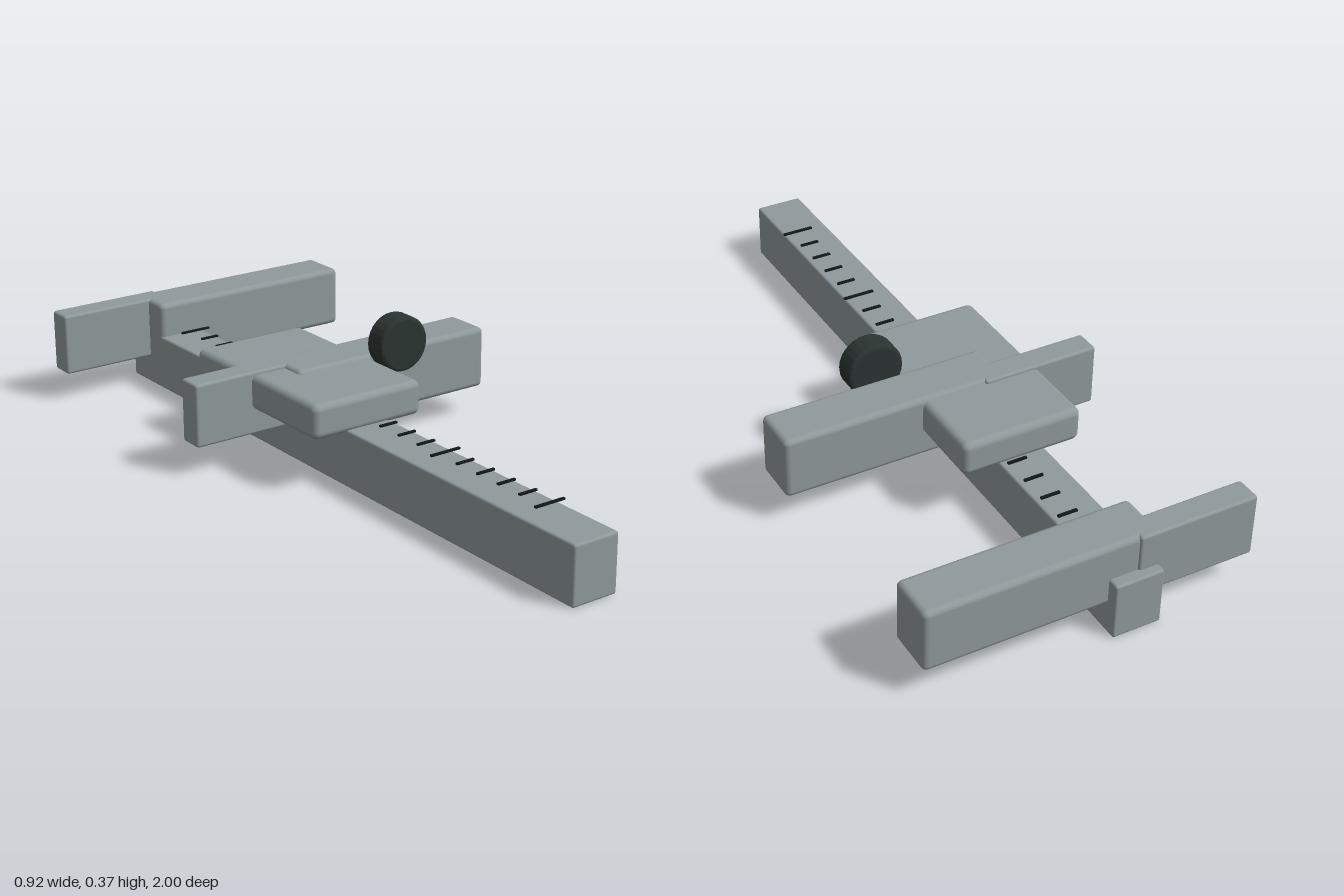
import * as THREE from 'three';
import { RoundedBoxGeometry } from 'three/addons/geometries/RoundedBoxGeometry.js';

export function createModel() {
  const model = new THREE.Group();
  model.name = 'caliper';

  const steel = new THREE.MeshStandardMaterial({ color: 0x8f999b });
  steel.name = 'steel grey';
  const rubber = new THREE.MeshStandardMaterial({ color: 0x2b3432, flatShading: true });
  rubber.name = 'dark rubber';
  const ink = new THREE.MeshStandardMaterial({ color: 0x12181a });
  ink.name = 'scale ink';

  // Rounded block given by its extents along each axis
  function block(name, [x0, x1], [y0, y1], [z0, z1], radius, parent = model) {
    const geometry = new RoundedBoxGeometry(x1 - x0, y1 - y0, z1 - z0, 3, radius);
    const mesh = new THREE.Mesh(geometry, steel);
    mesh.position.set((x0 + x1) / 2, (y0 + y1) / 2, (z0 + z1) / 2);
    mesh.name = name;
    parent.add(mesh);
  }

  // Main beam and sliding carriage
  block('beam', [-0.18, -0.043], [0, 0.161], [-1, 1], 0.007);
  block('carriage', [-0.285, 0.062], [0.153, 0.251], [-0.46, 0.115], 0.02);

  // Each jaw pair: a thick long arm and a thin short arm on the other side
  for (const [name, z] of [['fixedJaw', -0.968], ['slidingJaw', -0.246]]) {
    const jaw = new THREE.Group();
    jaw.name = name;
    block('longArm', [-0.18, 0.457], [0.083, 0.261], [z, z + 0.14], 0.016, jaw);
    block('shortArm', [-0.46, -0.123], [0.083, 0.261], [z - 0.006, z + 0.068], 0.008, jaw);
    model.add(jaw);
  }

  // Thumb wheel with bevelled rims, axis along z
  const r = 0.079, h = 0.034, b = 0.009;
  const profile = [
    [0, -h], [r - b, -h], [r - b * 0.3, -h + b * 0.3], [r, -h + b],
    [r, h - b], [r - b * 0.3, h - b * 0.3], [r - b, h], [0, h],
  ].map(([x, y]) => new THREE.Vector2(x, y));
  const wheel = new THREE.Mesh(new THREE.LatheGeometry(profile, 28), rubber);
  wheel.name = 'thumbWheel';
  wheel.rotation.x = Math.PI / 2;
  wheel.position.set(0.129, 0.291, -0.082);
  model.add(wheel);

  // Scale marks, every fifth one longer
  const scale = new THREE.Group();
  scale.name = 'scaleMarks';
  for (let i = -10; i <= 10; i++) {
    const long = i % 5 === 0;
    const mark = new THREE.Mesh(new THREE.BoxGeometry(long ? 0.092 : 0.055, 0.005, 0.008), ink);
    mark.name = long ? 'longMark' : 'shortMark';
    mark.position.set(-0.082, 0.172, i * 0.08);
    scale.add(mark);
  }
  model.add(scale);

  return model;
}
